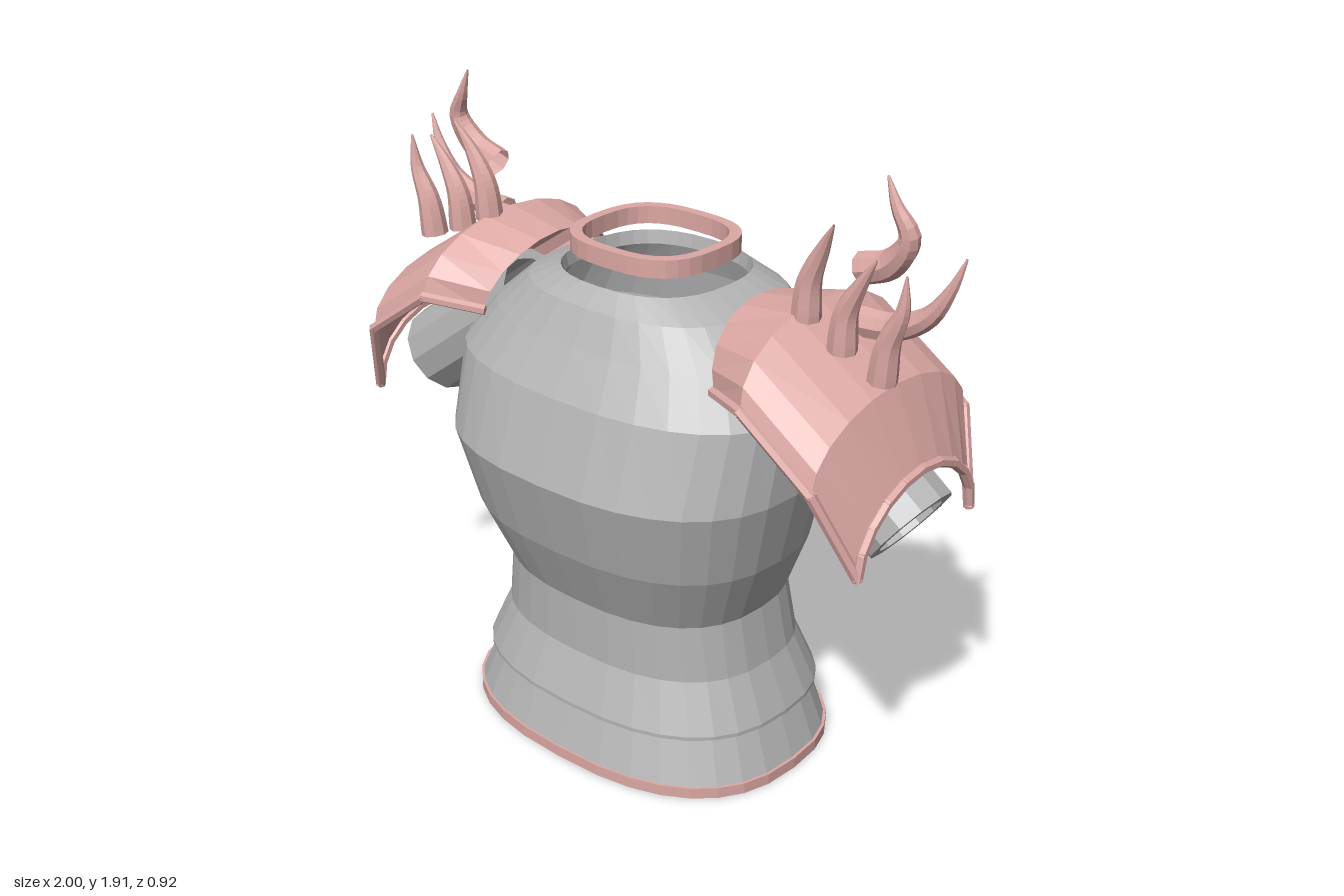
import * as THREE from 'three';

const V = (x, y, z) => new THREE.Vector3(x, y, z);

function material(name, color, flatShading) {
  const m = new THREE.MeshStandardMaterial({ color, side: THREE.DoubleSide, flatShading });
  m.name = name;
  return m;
}

// Skin a list of equal-length point rows with flat quads
function loft(rows, closed, flip = false) {
  const pos = [];
  const n = rows[0].length;
  for (let i = 0; i < rows.length - 1; i++) {
    for (let j = 0; j < (closed ? n : n - 1); j++) {
      const k = (j + 1) % n;
      const a = rows[i][j], b = rows[i][k], c = rows[i + 1][k], d = rows[i + 1][j];
      const tris = flip ? [a, b, c, a, c, d] : [a, c, b, a, d, c];
      for (const p of tris) pos.push(p.x, p.y, p.z);
    }
  }
  const g = new THREE.BufferGeometry();
  g.setAttribute('position', new THREE.Float32BufferAttribute(pos, 3));
  g.computeVertexNormals();
  return g;
}

// Rounded-rectangle ring: half width, front z, back z, roundness power
function ring(y, w, front, back, power = 2.5, n = 32) {
  const mid = (front + back) / 2, d = (front - back) / 2;
  const bend = (v) => Math.sign(v) * Math.abs(v) ** (2 / power);
  return Array.from({ length: n }, (_, i) => {
    const a = (i / n) * Math.PI * 2;
    return V(w * bend(Math.cos(a)), y, mid + d * bend(Math.sin(a)));
  });
}

// Hollow band with a wall of thickness t
function band(y0, y1, w, front, back, t, power) {
  const outer = (y) => ring(y, w, front, back, power);
  const inner = (y) => ring(y, w - t, front - t, back + t, power);
  return loft([inner(y0), outer(y0), outer(y1), inner(y1), inner(y0)], true, true);
}

// Curved horn: a tube that narrows to a point
function horn(points, r, s) {
  const curve = new THREE.CatmullRomCurve3(points.map(([x, y, z]) => V(x * s, y, z)));
  const steps = 16, sides = 8;
  const g = new THREE.TubeGeometry(curve, steps, r, sides, false);
  const p = g.attributes.position, v = V(0, 0, 0);
  for (let i = 0; i <= steps; i++) {
    const t = i / steps, c = curve.getPointAt(t);
    const k = 1 - 0.93 * t ** 1.6;
    for (let j = 0; j <= sides; j++) {
      const id = i * (sides + 1) + j;
      v.fromBufferAttribute(p, id).sub(c).multiplyScalar(k).add(c);
      p.setXYZ(id, v.x, v.y, v.z);
    }
  }
  g.computeVertexNormals();
  return g;
}

export function createModel() {
  const steel = material('grey metal', 0xb4b4b4, true);
  const pink = material('pink metal', 0xdca8a4, true);
  const hornPink = pink;
  const model = new THREE.Group();
  const add = (parent, name, geometry, mat) => {
    const m = new THREE.Mesh(geometry, mat);
    m.name = name;
    parent.add(m);
    return m;
  };

  // Breastplate with waist and two flared skirt tiers: y, half width, front, back
  const body = [
    [0.03, 0.57, 0.397, -0.45], [0.178, 0.513, 0.35, -0.41],
    [0.178, 0.535, 0.37, -0.43], [0.19, 0.535, 0.37, -0.43],
    [0.34, 0.468, 0.315, -0.372], [0.52, 0.442, 0.315, -0.345],
    [0.72, 0.525, 0.4, -0.375], [0.96, 0.583, 0.462, -0.405],
    [1.2, 0.59, 0.385, -0.407], [1.33, 0.5, 0.305, -0.39],
    [1.43, 0.385, 0.25, -0.355], [1.482, 0.265, 0.2, -0.3],
    [1.44, 0.258, 0.193, -0.293],
  ];
  add(model, 'breastplate', loft(body.map((r) => ring(...r)), true), steel);
  add(model, 'hemTrim', band(0, 0.035, 0.577, 0.402, -0.457, 0.025, 2.5), pink);
  add(model, 'collarRing', band(1.527, 1.58, 0.23, 0.168, -0.258, 0.032, 2.8), pink);

  // Shoulder arches: crown x, crown y, edge x, edge y, half depth
  const arches = [
    [0.38, 1.49, 0.44, 1.3, 0.27], [0.58, 1.525, 0.6, 1.325, 0.36],
    [0.84, 1.355, 0.835, 1.16, 0.36], [0.935, 1.135, 0.93, 0.915, 0.27],
  ];
  const midZ = -0.045, archSides = 10;

  // Horn paths and base radii
  const horns = [
    [0.042, [[0.845, 1.39, 0.035], [0.86, 1.5, 0.04], [0.9, 1.6, 0.045], [0.91, 1.7, 0.05]]],
    [0.042, [[0.715, 1.44, 0.035], [0.725, 1.55, 0.04], [0.77, 1.64, 0.045], [0.82, 1.72, 0.055]]],
    [0.042, [[0.595, 1.5, 0.035], [0.605, 1.61, 0.04], [0.65, 1.71, 0.05], [0.695, 1.79, 0.07]]],
    [0.045, [[0.66, 1.47, -0.1], [0.78, 1.48, -0.105], [0.89, 1.54, -0.1], [0.95, 1.63, -0.1], [0.985, 1.72, -0.105]]],
    [0.046, [[0.68, 1.625, -0.09], [0.77, 1.66, -0.09], [0.83, 1.75, -0.075], [0.795, 1.83, -0.06], [0.765, 1.905, -0.058]]],
  ];

  for (const s of [-1, 1]) {
    const side = new THREE.Group();
    side.name = s > 0 ? 'leftShoulder' : 'rightShoulder';
    model.add(side);

    // Hollow sleeve
    const sleeveShape = [[0.11, 0], [0.143, 0], [0.143, 0.52], [0.11, 0.52], [0.11, 0]];
    const sleeve = add(side, 'sleeve', new THREE.LatheGeometry(
      sleeveShape.map(([r, y]) => new THREE.Vector2(r, y)), 12), steel);
    sleeve.position.set(0.915 * s, 0.955, midZ);
    sleeve.quaternion.setFromUnitVectors(V(0, 1, 0), V(-0.804 * s, 0.594, 0).normalize());

    // Shoulder plate
    const rows = arches.map(([xt, yt, xb, yb, h]) =>
      Array.from({ length: archSides + 1 }, (_, i) => {
        const a = (i / archSides) * Math.PI, k = Math.sin(a);
        return V(s * (xb + (xt - xb) * k), yb + (yt - yb) * k, midZ + h * Math.cos(a));
      }));
    add(side, 'shoulderPlate', loft(rows, false, s > 0), pink);

    // Raised rim along the lower edges and the outer arch
    const edge = [
      ...rows.map((r) => r[0]),
      ...rows[3].slice(1, -1),
      ...rows.map((r) => r[archSides]).reverse(),
    ];
    for (let i = 0; i < edge.length - 1; i++) {
      const a = edge[i], b = edge[i + 1], d = b.clone().sub(a);
      const rim = add(side, 'plateRim', new THREE.CylinderGeometry(0.016, 0.016, d.length() + 0.012, 6), pink);
      rim.position.copy(a).add(b).multiplyScalar(0.5);
      rim.quaternion.setFromUnitVectors(V(0, 1, 0), d.normalize());
    }

    // Horns
    for (const [r, path] of horns) add(side, 'horn', horn(path, r, s), hornPink);
  }
  return model;
}
